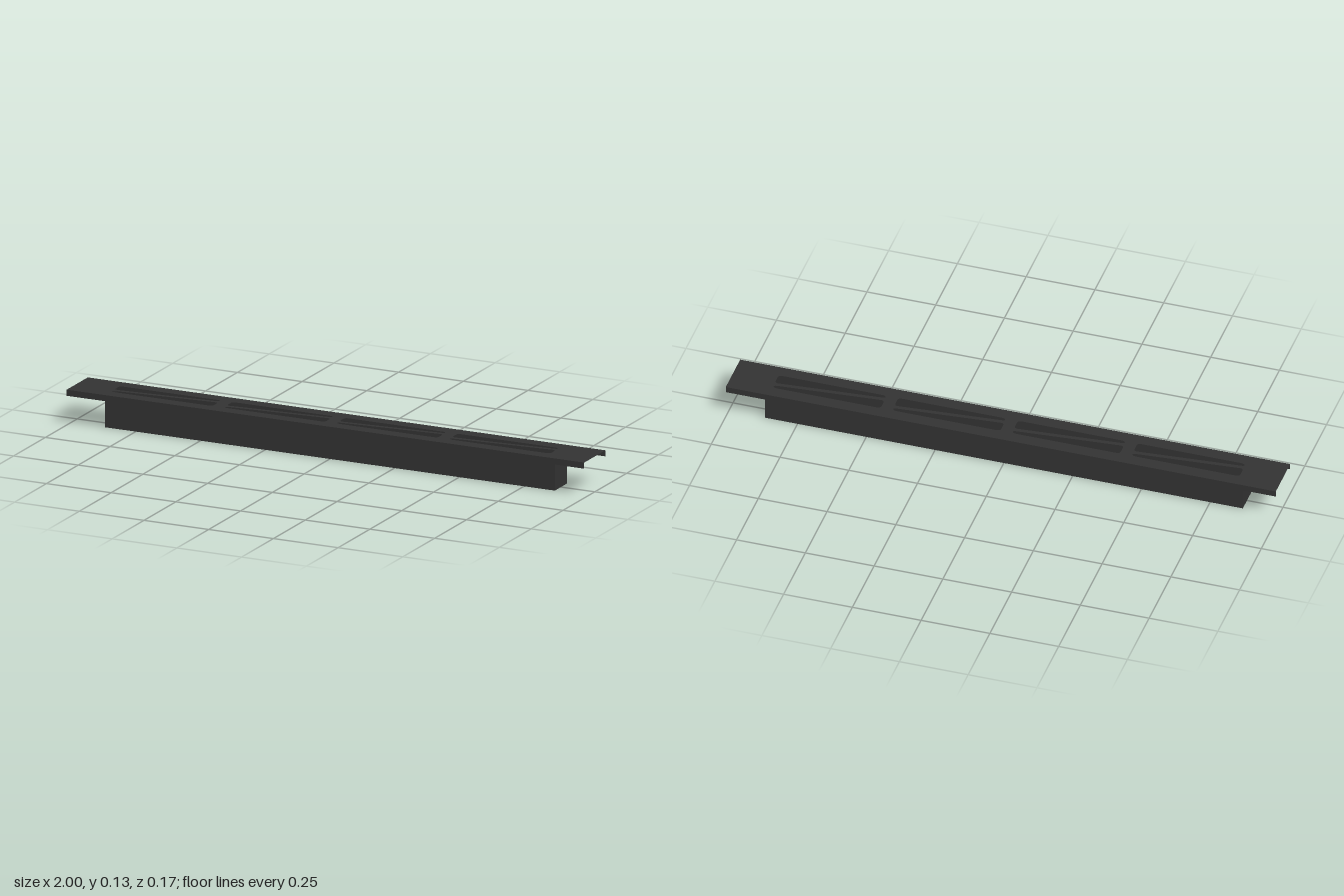
import * as THREE from 'three';

const TOP = 0.128, HALF_W = 0.083, LIP = 0.022;   // cover plate
const BOX_X = 0.869, BOX_Z = 0.048;               // trough half sizes

// Closed polygon path with softened corners
function roundedPath(points, radius) {
  const path = new THREE.Path();
  const pts = points.map(([x, y]) => new THREE.Vector2(x, y));
  const n = pts.length;
  pts.forEach((p, i) => {
    const toward = (q) => {
      const d = q.clone().sub(p);
      return p.clone().addScaledVector(d, Math.min(radius / d.length(), 0.45));
    };
    const a = toward(pts[(i + n - 1) % n]);
    const b = toward(pts[(i + 1) % n]);
    if (i === 0) path.moveTo(a.x, a.y);
    else path.lineTo(a.x, a.y);
    path.quadraticCurveTo(p.x, p.y, b.x, b.y);
  });
  path.closePath();
  return path;
}

export function createModel() {
  const group = new THREE.Group();
  const material = new THREE.MeshStandardMaterial({ color: 0x333333, side: THREE.DoubleSide });

  const add = (name, geometry, x = 0, y = 0, z = 0) => {
    const mesh = new THREE.Mesh(geometry, material);
    mesh.name = name;
    mesh.position.set(x, y, z);
    group.add(mesh);
  };

  // Cover plate: four slots, each split into two wedges by a diagonal bar
  const plate = new THREE.Shape([
    new THREE.Vector2(-1, -HALF_W), new THREE.Vector2(1, -HALF_W),
    new THREE.Vector2(1, HALF_W), new THREE.Vector2(-1, HALF_W),
  ]);
  const wedge = [[-0.197, 0.037], [0.19, 0.037], [0.197, 0.024], [-0.197, -0.009]];
  for (let i = 0; i < 4; i++) {
    const cx = -0.004 + (i - 1.5) * 0.435;
    for (const s of [1, -1]) {
      plate.holes.push(roundedPath(wedge.map(([x, y]) => [cx + s * x, s * y]), 0.014));
    }
  }
  add('coverPlate', new THREE.ShapeGeometry(plate, 6).rotateX(-Math.PI / 2), 0, TOP, 0);

  // Folded lips along both long edges, and the trough walls
  for (const s of [1, -1]) {
    const turn = s > 0 ? 0 : Math.PI;
    const side = s > 0 ? 'front' : 'back';
    add(side + 'Lip', new THREE.PlaneGeometry(2, LIP).rotateY(turn), 0, TOP - LIP / 2, s * HALF_W);
    add(side + 'Wall', new THREE.PlaneGeometry(2 * BOX_X, TOP).rotateY(turn), 0, TOP / 2, s * BOX_Z);
    add(s > 0 ? 'leftEndWall' : 'rightEndWall',
      new THREE.PlaneGeometry(2 * BOX_Z, TOP).rotateY(s * Math.PI / 2), s * BOX_X, TOP / 2, 0);
  }

  // Trough floor
  add('troughFloor', new THREE.PlaneGeometry(2 * BOX_X, 2 * BOX_Z).rotateX(Math.PI / 2));

  return group;
}
